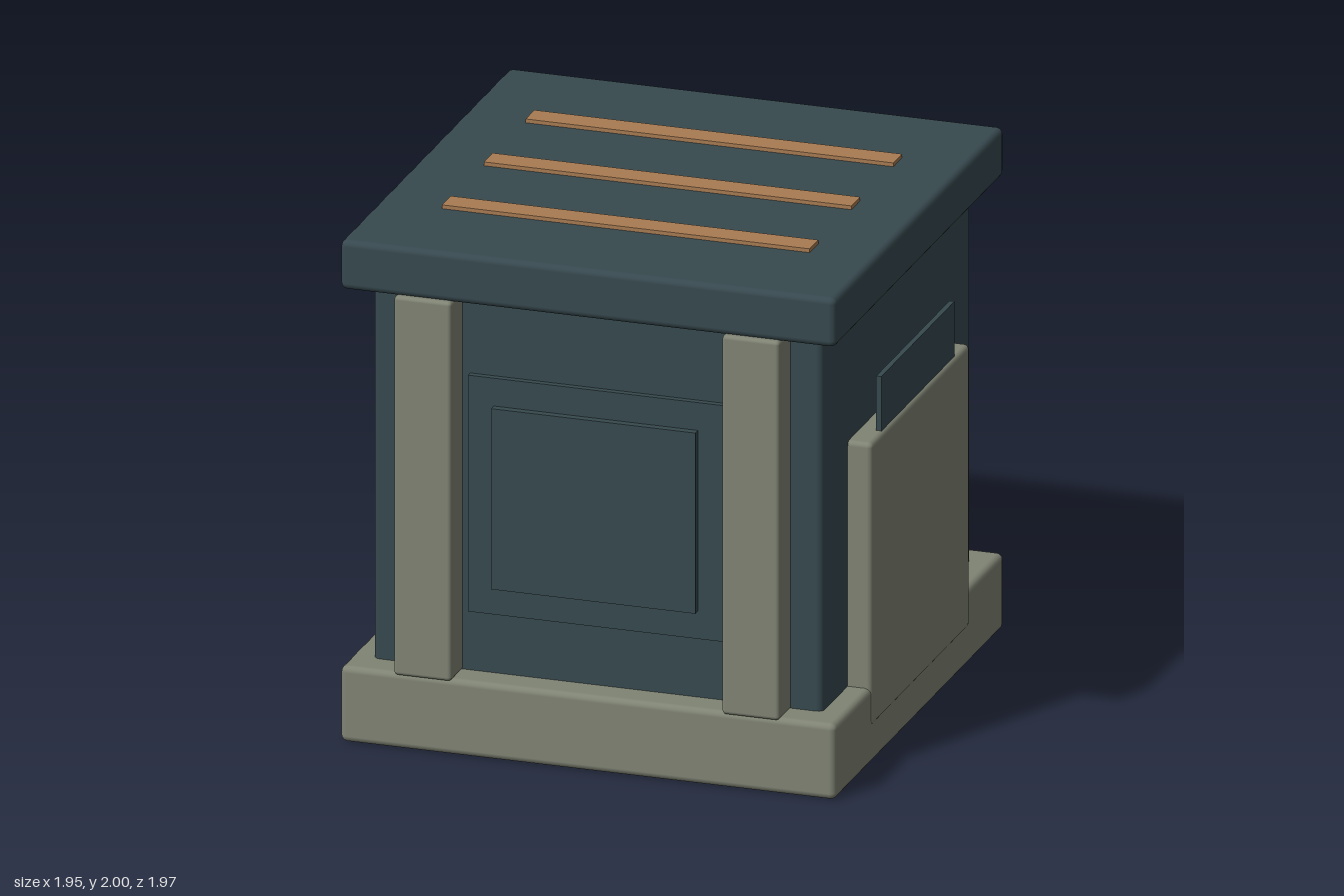
import * as THREE from 'three';
import { RoundedBoxGeometry } from 'three/addons/geometries/RoundedBoxGeometry.js';

const slate = new THREE.MeshStandardMaterial({ name: 'slate teal', color: 0x37494f });
const stone = new THREE.MeshStandardMaterial({ name: 'stone grey', color: 0x808474 });
const copper = new THREE.MeshStandardMaterial({ name: 'copper', color: 0xa87b52 });

export function createModel() {
  const group = new THREE.Group();
  group.name = 'crate';

  const add = (name, geometry, material, x, y, z) => {
    const mesh = new THREE.Mesh(geometry, material);
    mesh.name = name;
    mesh.position.set(x, y, z);
    group.add(mesh);
    return mesh;
  };
  // Box given by its lowest and highest corners, with optional rounded edges
  const block = (name, material, [x0, y0, z0], [x1, y1, z1], radius = 0) => {
    const size = [x1 - x0, y1 - y0, z1 - z0];
    const geometry = radius
      ? new RoundedBoxGeometry(...size, 2, radius)
      : new THREE.BoxGeometry(...size);
    return add(name, geometry, material, (x0 + x1) / 2, (y0 + y1) / 2, (z0 + z1) / 2);
  };

  // Main volumes
  block('base', stone, [-0.97, 0, -0.97], [0.97, 0.3, 0.97], 0.025);
  block('body', slate, [-0.88, 0.2, -0.85], [0.88, 1.85, 0.85], 0.025);
  block('lid', slate, [-0.97, 1.79, -0.97], [0.97, 1.985, 0.97], 0.025);

  // Strips across the lid
  for (const z of [-0.48, 0, 0.48]) {
    block('lidStrip', copper, [-0.72, 1.96, z - 0.05], [0.72, 2, z + 0.05]);
  }

  // Ten-sided ring that loops round a rear post
  const decagon = (r) => Array.from({ length: 10 }, (_, i) => {
    const a = (i * Math.PI) / 5;
    return new THREE.Vector2(r * Math.cos(a), r * Math.sin(a));
  });
  const ringShape = new THREE.Shape(decagon(0.217));
  ringShape.holes.push(new THREE.Path(decagon(0.115)));
  const ringGeometry = new THREE.ExtrudeGeometry(ringShape, { depth: 0.095, bevelEnabled: false });

  for (const side of [-1, 1]) {
    // Posts and stepped panels, front (side = 1) and back (side = -1)
    for (const x of [-0.6425, 0.6425]) {
      const post = block('post', stone, [x - 0.1125, 0.295, -0.0925], [x + 0.1125, 1.795, 0.0925], 0.015);
      post.position.z = side * 0.8925;
    }
    const outer = block('outerPanel', slate, [-0.5, 0.54, -0.03], [0.5, 1.475, 0.03]);
    outer.position.z = side * 0.845;
    const inner = block('innerPanel', slate, [-0.4, 0.65, -0.03], [0.4, 1.365, 0.03]);
    inner.position.z = side * 0.875;

    // Side pocket with a thin plate standing in it
    const pocket = block('sidePocket', stone, [-0.055, 0.15, -0.563], [0.055, 1.27, 0.563], 0.02);
    pocket.position.x = side * 0.92;
    const plate = block('sidePlate', slate, [-0.01, 0.8, -0.42], [0.01, 1.485, 0.42]);
    plate.position.x = side * 0.953;

    add('rearRing', ringGeometry, copper, side * 0.597, 1.525, -0.945);
  }
  return group;
}
